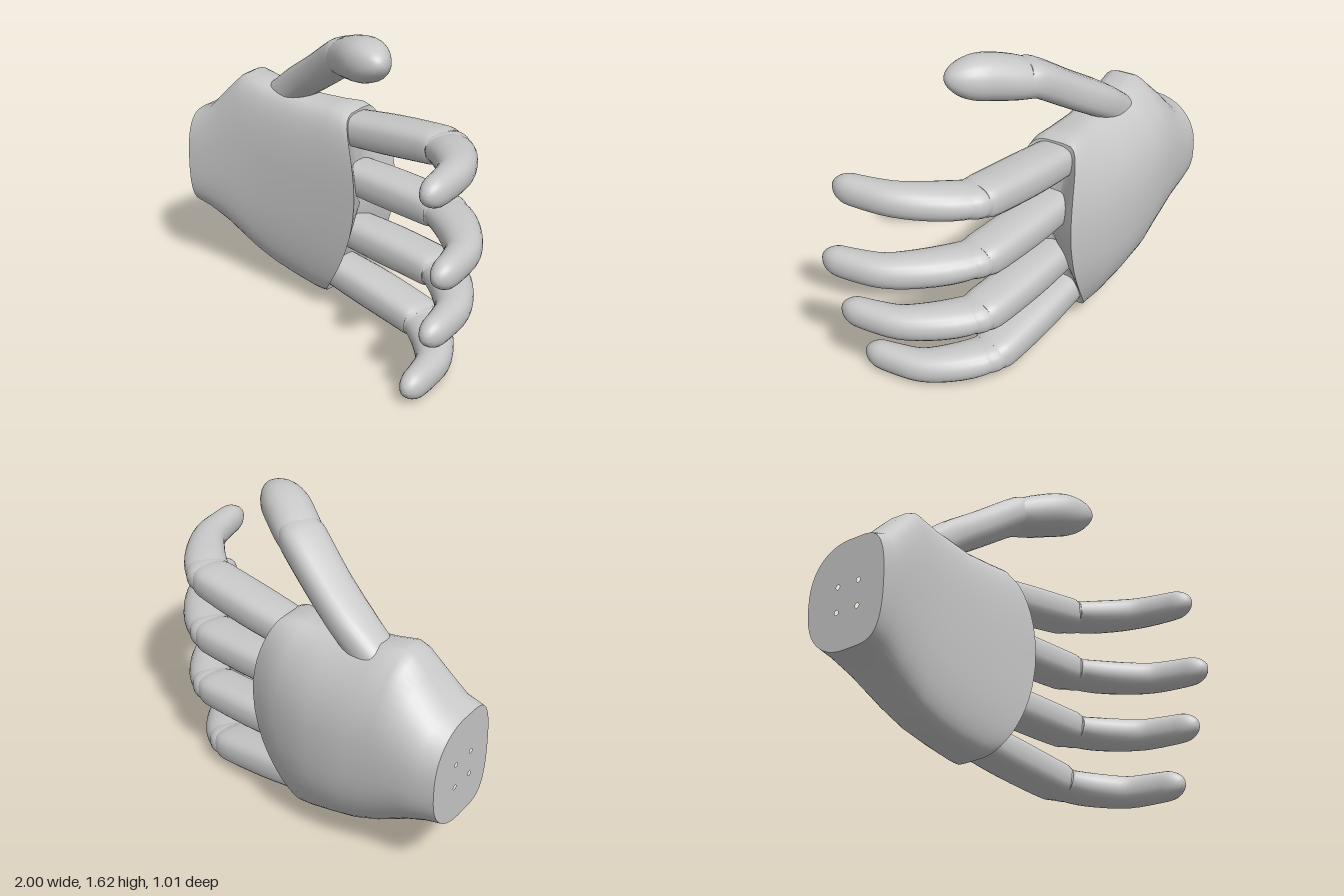
import * as THREE from 'three';
import { toCreasedNormals } from 'three/addons/utils/BufferGeometryUtils.js';

const V = (x, y, z) => new THREE.Vector3(x, y, z);
const spow = (v, p) => Math.sign(v) * Math.pow(Math.abs(v), p);

// Skin a row of equal-length rings, each running counter-clockwise about the path
function loft(rings, capStart = true) {
  const n = rings[0].length;
  const pos = rings.flat();
  const idx = [];
  for (let i = 0; i < rings.length - 1; i++) {
    for (let j = 0; j < n; j++) {
      const a = i * n + j, b = i * n + (j + 1) % n;
      idx.push(a, b, a + n, b, b + n, a + n);
    }
  }
  const cap = (i, flip) => {
    const centre = V(0, 0, 0);
    rings[i].forEach(p => centre.addScaledVector(p, 1 / n));
    const c = pos.push(centre) - 1;
    for (let j = 0; j < n; j++) {
      const a = i * n + j, b = i * n + (j + 1) % n;
      idx.push(c, flip ? b : a, flip ? a : b);
    }
  };
  if (capStart) cap(0, true);
  cap(rings.length - 1, false);
  const g = new THREE.BufferGeometry().setFromPoints(pos);
  g.setIndex(idx);
  return toCreasedNormals(g, 0.7);
}

// Limb along a path; radii are [upright, depth], dome = where the rounded tip begins
function limb(points, radii, { power = 0.9, dome = 1, steps = 24, sides = 24 } = {}) {
  const path = new THREE.CatmullRomCurve3(points);
  const size = new THREE.CatmullRomCurve3(radii.map(r => V(r[0], r[1], 0)));
  const rings = [];
  for (let i = 0; i <= steps; i++) {
    // sample more finely toward a domed tip
    const k = i / steps;
    const t = dome < 1 ? Math.sin(k * Math.PI / 2) : k;
    const c = path.getPoint(t), tan = path.getTangent(t), r = size.getPoint(t);
    const up = V(0, 1, 0).addScaledVector(tan, -tan.y).normalize();
    const out = V(0, 0, 0).crossVectors(tan, up);
    const e = t > dome ? Math.sqrt(Math.max(0.0004, 1 - ((t - dome) / (1 - dome)) ** 2)) : 1;
    rings.push(Array.from({ length: sides }, (_, j) => {
      const a = j / sides * Math.PI * 2;
      return c.clone()
        .addScaledVector(up, spow(Math.cos(a), power) * r.x * e)
        .addScaledVector(out, spow(Math.sin(a), power) * r.y * e);
    }));
  }
  return loft(rings);
}

// One palm section: flat palm side, domed back, swept end edge
function palmRing([xt, yt, xb, yb, bulge, zBack, zFront, pBack]) {
  const n = 48, zc = -0.24;
  return Array.from({ length: n }, (_, j) => {
    const a = j / n * Math.PI * 2, s = Math.sin(a);
    const v = 0.5 + 0.5 * spow(Math.cos(a), 0.8);
    const x = xb + (xt - xb) * v + bulge * 4 * v * (1 - v);
    const z = s >= 0 ? zc + (zFront - zc) * Math.pow(s, 0.4) : zc + (zBack - zc) * Math.pow(-s, pBack);
    return V(x, yb + (yt - yb) * v, z);
  });
}

export function createModel() {
  const model = new THREE.Group();
  model.name = 'hand';
  const grey = new THREE.MeshStandardMaterial({ color: 0xc8c8c8 });
  grey.name = 'lightGrey';
  const add = (parent, name, geometry) => {
    const m = new THREE.Mesh(geometry, grey);
    m.name = name;
    parent.add(m);
    return m;
  };

  // Palm: top x, top y, bottom x, bottom y, end bulge, back z, front z, back roundness
  const rings = [
    [-1, 0.94, -1, 0.38, 0, -0.48, 0, 1],
    [-0.91, 0.98, -0.92, 0.355, 0, -0.49, -0.01, 1.1],
    [-0.8, 1.1, -0.8, 0.29, 0, -0.495, -0.03, 1.25],
    [-0.725, 1.175, -0.67, 0.215, 0, -0.5, -0.035, 1.35],
    [-0.68, 1.198, -0.6, 0.175, 0, -0.5, -0.04, 1.4],
    [-0.55, 1.17, -0.48, 0.13, 0, -0.505, -0.04, 1.4],
    [-0.3, 1.14, -0.35, 0.1, 0.03, -0.49, -0.035, 1.35],
    [-0.13, 1.145, -0.22, 0.08, 0.09, -0.45, -0.02, 1.1],
    [-0.04, 1.15, -0.17, 0.08, 0.15, -0.395, -0.01, 0.75],
    [0, 1.13, -0.14, 0.085, 0.18, -0.365, -0.005, 0.5],
  ].map(palmRing);
  add(model, 'palm', loft(rings, false));

  // Wrist plate with four bolt holes
  const plate = new THREE.Shape(rings[0].map(p => new THREE.Vector2(p.z, p.y)));
  for (const z of [-0.29, -0.16]) {
    for (const y of [0.58, 0.71]) {
      plate.holes.push(new THREE.Path().absarc(z, y, 0.012, 0, Math.PI * 2, true));
    }
  }
  add(model, 'wristPlate', new THREE.ShapeGeometry(plate, 8).rotateY(-Math.PI / 2)).position.x = -1;

  // Fingers: base x, base y, tip x, tip y, tip z
  const fingers = {
    indexFinger: [0, 1.03, 0.85, 1.12, 0.48],
    middleFinger: [0, 0.77, 0.935, 0.755, 0.505],
    ringFinger: [0, 0.46, 0.865, 0.42, 0.475],
    littleFinger: [-0.1, 0.2, 0.745, 0.08, 0.445],
  };
  for (const [name, [bx, by, tx, ty, tz]] of Object.entries(fingers)) {
    const finger = new THREE.Group();
    finger.name = name;
    model.add(finger);
    // dx is measured from the base; s runs from the joint to the tip
    const reach = tx - bx, joint = 0.565;
    const at = (dx, z) => V(bx + dx, by + (ty - by) * Math.min(1, dx / reach * 1.05), z);
    const bend = (s, z) => at(joint + (reach - joint) * s, z + (tz - 0.505) * s);
    add(finger, 'lowerSegment', limb([at(-0.05, -0.2), at(0.25, -0.17), at(0.53, -0.132), at(0.58, -0.12)],
      [[0.085, 0.108], [0.092, 0.116], [0.087, 0.116], [0.076, 0.105]], { power: 0.7, steps: 12 }));
    add(finger, 'knuckle', limb([at(0.52, -0.135), at(0.58, -0.115), at(0.63, -0.08)],
      [[0.06, 0.09], [0.077, 0.117], [0.07, 0.1]], { power: 0.8, steps: 8 }));
    add(finger, 'fingertip',
      limb([bend(0, -0.125), bend(0.3, -0.05), bend(0.63, 0.07), bend(0.86, 0.19), bend(0.96, 0.32), bend(1, 0.42), bend(1, 0.505)],
        [[0.07, 0.112], [0.08, 0.112], [0.082, 0.1], [0.08, 0.085], [0.078, 0.073], [0.075, 0.065], [0.07, 0.06]],
        { dome: 0.8 }));
  }

  // Thumb
  const thumb = new THREE.Group();
  thumb.name = 'thumb';
  model.add(thumb);
  add(thumb, 'lowerSegment',
    limb([V(-0.52, 1.08, -0.23), V(-0.37, 1.195, -0.21), V(-0.19, 1.315, -0.155), V(0.015, 1.455, -0.075), V(0.07, 1.48, -0.045)],
      [[0.085, 0.105], [0.088, 0.112], [0.088, 0.113], [0.09, 0.118], [0.08, 0.105]], { power: 0.75, steps: 16 }));
  add(thumb, 'thumbtip',
    limb([V(0, 1.44, -0.085), V(0.1, 1.475, -0.02), V(0.2, 1.505, 0.05), V(0.3, 1.525, 0.11), V(0.39, 1.545, 0.165)],
      [[0.085, 0.112], [0.105, 0.12], [0.11, 0.12], [0.104, 0.108], [0.09, 0.095]], { dome: 0.6 }));

  return model;
}
